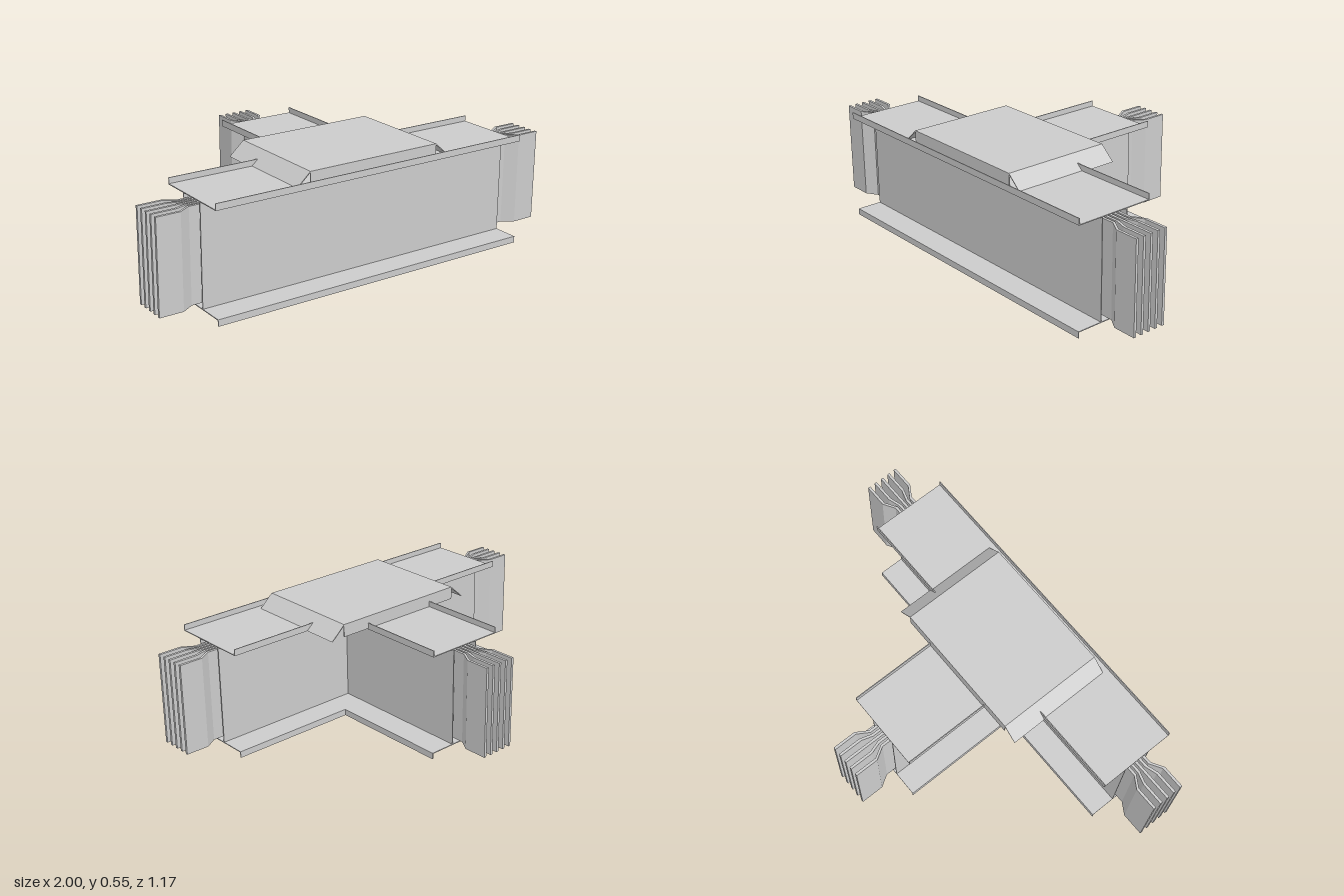
import * as THREE from 'three';

const T = 0.004; // sheet thickness
const metal = new THREE.MeshStandardMaterial({ color: 0xcccccc, flatShading: true, side: THREE.DoubleSide });

function add(parent, name, geometry) {
  const mesh = new THREE.Mesh(geometry, metal);
  mesh.name = name;
  parent.add(mesh);
  return mesh;
}

// box given by its limits on each axis
function box(parent, name, [x0, x1], [y0, y1], [z0, z1]) {
  const g = new THREE.BoxGeometry(x1 - x0, y1 - y0, z1 - z0);
  g.translate((x0 + x1) / 2, (y0 + y1) / 2, (z0 + z1) / 2);
  return add(parent, name, g);
}

// outline of [x, z] points raised from y0 to y1
function plan(parent, name, points, y0, y1) {
  const shape = new THREE.Shape(points.map(([x, z]) => new THREE.Vector2(x, -z)));
  const g = new THREE.ExtrudeGeometry(shape, { depth: y1 - y0, bevelEnabled: false });
  g.rotateX(-Math.PI / 2).translate(0, y0, 0);
  return add(parent, name, g);
}

export function createModel() {
  const model = new THREE.Group();
  model.name = 'busbarTee';

  const runX = 0.795, stemX = 0.19, front = 0.58, back = 0.205, stemEnd = -0.38;
  const low = 0.03, high = 0.49;

  // T-shaped flanges with lips turned away from the casing
  const tee = [
    [-runX, front], [runX, front], [runX, back], [stemX, back],
    [stemX, stemEnd], [-stemX, stemEnd], [-stemX, back], [-runX, back],
  ];
  const levels = [
    ['bottomFlange', low - T, low, [0, low]],
    ['topFlange', high, high + T, [high, 0.52]],
  ];
  for (const [name, y0, y1, lipY] of levels) {
    const flange = new THREE.Group();
    flange.name = name;
    model.add(flange);
    plan(flange, 'flangePlate', tee, y0, y1);
    box(flange, 'frontLip', [-runX, runX], lipY, [front - T, front]);
    for (const s of [-1, 1]) {
      const run = [s * stemX, s * runX].sort((a, b) => a - b);
      const side = [s * stemX, s * (stemX - T)].sort((a, b) => a - b);
      box(flange, 'backLip', run, lipY, [back, back + T]);
      box(flange, 'stemLip', side, lipY, [stemEnd, back + T]);
    }
  }

  // upright walls of the run and the stem
  const wallY = [low, high], wallX = 0.065;
  box(model, 'frontWall', [-runX, runX], wallY, [0.456, 0.46]);
  for (const s of [-1, 1]) {
    plan(model, 'cornerWall', [
      [s * runX, 0.33], [s * wallX, 0.33], [s * wallX, stemEnd],
      [s * (wallX + T), stemEnd], [s * (wallX + T), 0.33 - T], [s * runX, 0.33 - T],
    ], ...wallY);
  }

  // raised cover over the junction, with sloped wings and skirts
  const cover = new THREE.Group();
  cover.name = 'junctionCover';
  model.add(cover);
  const c0 = 0.035, c1 = 0.548, top = 0.553;
  const section = new THREE.Shape([
    [-0.4, high], [-0.33, top], [0.33, top], [0.4, high],
    [0.395, high], [0.328, top - T], [-0.328, top - T], [-0.395, high],
  ].map(([x, y]) => new THREE.Vector2(x, y)));
  const roof = new THREE.ExtrudeGeometry(section, { depth: c1 - c0, bevelEnabled: false });
  add(cover, 'coverPlate', roof.translate(0, 0, c0));
  box(cover, 'frontSkirt', [-0.33, 0.33], [high + T, top - T], [c1 - T, c1]);
  box(cover, 'backSkirt', [-0.33, 0.33], [high + T, top - T], [c0, c0 + T]);

  // flat conductors, packed inside the casing and fanned out at the ends
  const h = 0.006, barY = [0.05, 0.475], mid = 0.393;
  for (let i = -2; i <= 2; i++) {
    const packed = i * 0.021, fanned = i * 0.038;
    const path = [
      [-1, fanned], [-0.89, fanned], [-0.835, packed],
      [0.835, packed], [0.89, fanned], [1, fanned],
    ];
    plan(model, 'runBar', [
      ...path.map(([x, z]) => [x, mid + z + h]),
      ...path.reverse().map(([x, z]) => [x, mid + z - h]),
    ], ...barY);

    const stem = [[-0.588, fanned], [-0.475, fanned], [-0.42, packed], [0.345, packed]];
    plan(model, 'stemBar', [
      ...stem.map(([z, x]) => [x - h, z]),
      ...stem.reverse().map(([z, x]) => [x + h, z]),
    ], ...barY);
  }
  return model;
}
